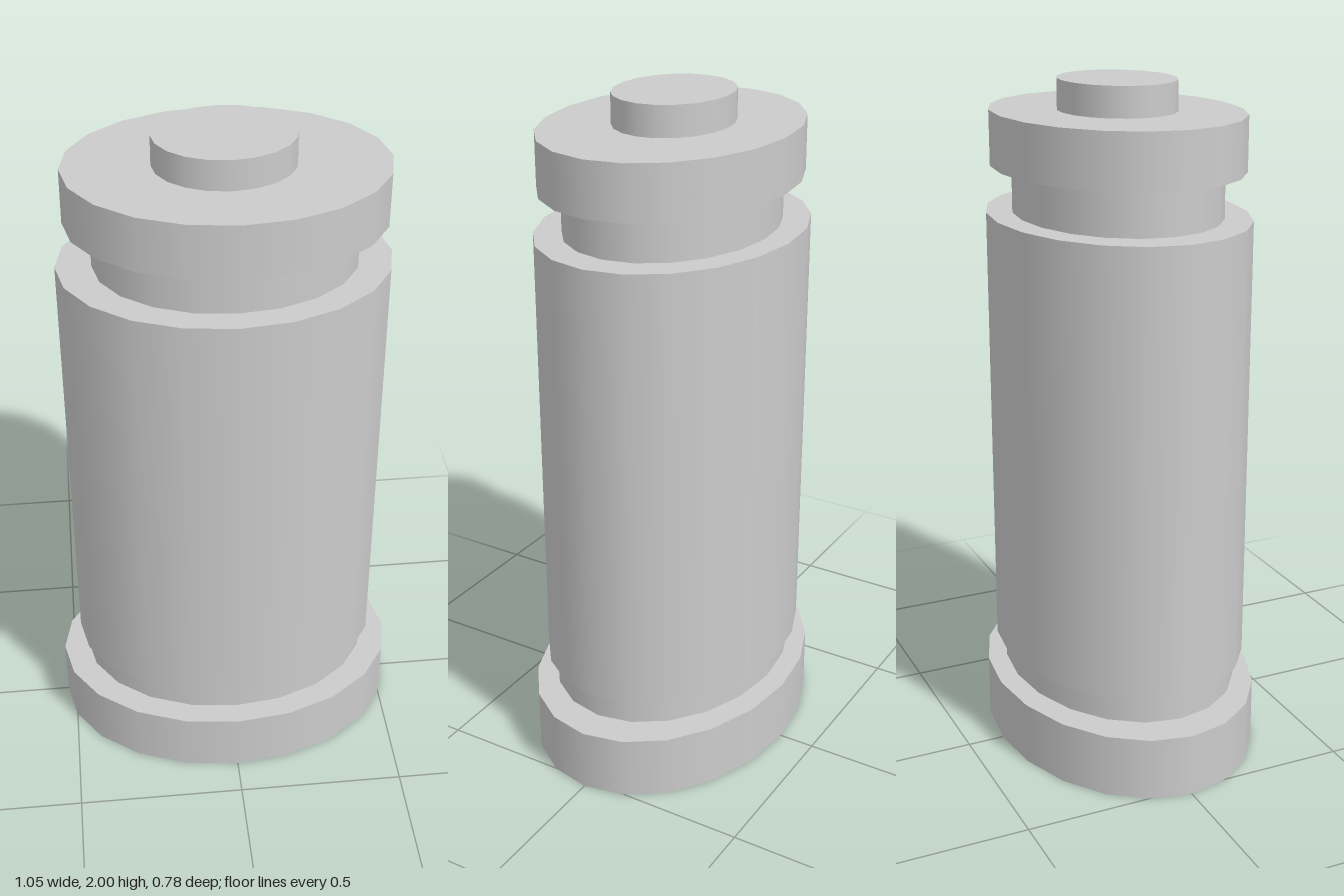
import * as THREE from 'three';

export function createModel() {
  const group = new THREE.Group();
  const material = new THREE.MeshStandardMaterial({ color: 0xcccccc });

  // An upright elliptical drum between two heights, with an optional slight lean
  function drum(name, y0, y1, rx, rz, x = 0, tilt = 0) {
    const geometry = new THREE.CylinderGeometry(1, 1, y1 - y0, 20);
    geometry.scale(rx, 1, rz);
    const mesh = new THREE.Mesh(geometry, material);
    mesh.name = name;
    mesh.position.set(x, (y0 + y1) / 2, 0);
    mesh.rotation.z = tilt;
    group.add(mesh);
  }

  // Foot and lower collar, separated by a narrow gap
  drum('base', 0, 0.19, 0.527, 0.39);
  drum('lowerCollar', 0.207, 0.292, 0.447, 0.336, -0.002);

  // Main barrel
  drum('body', 0.29, 1.62, 0.469, 0.364, -0.001);

  // Neck, overhanging cap and top knob
  drum('neck', 1.618, 1.745, 0.372, 0.29, 0.003, -0.004);
  drum('cap', 1.754, 1.912, 0.448, 0.348, 0.006, -0.005);
  drum('knob', 1.908, 2, 0.197, 0.166, -0.001);

  return group;
}
